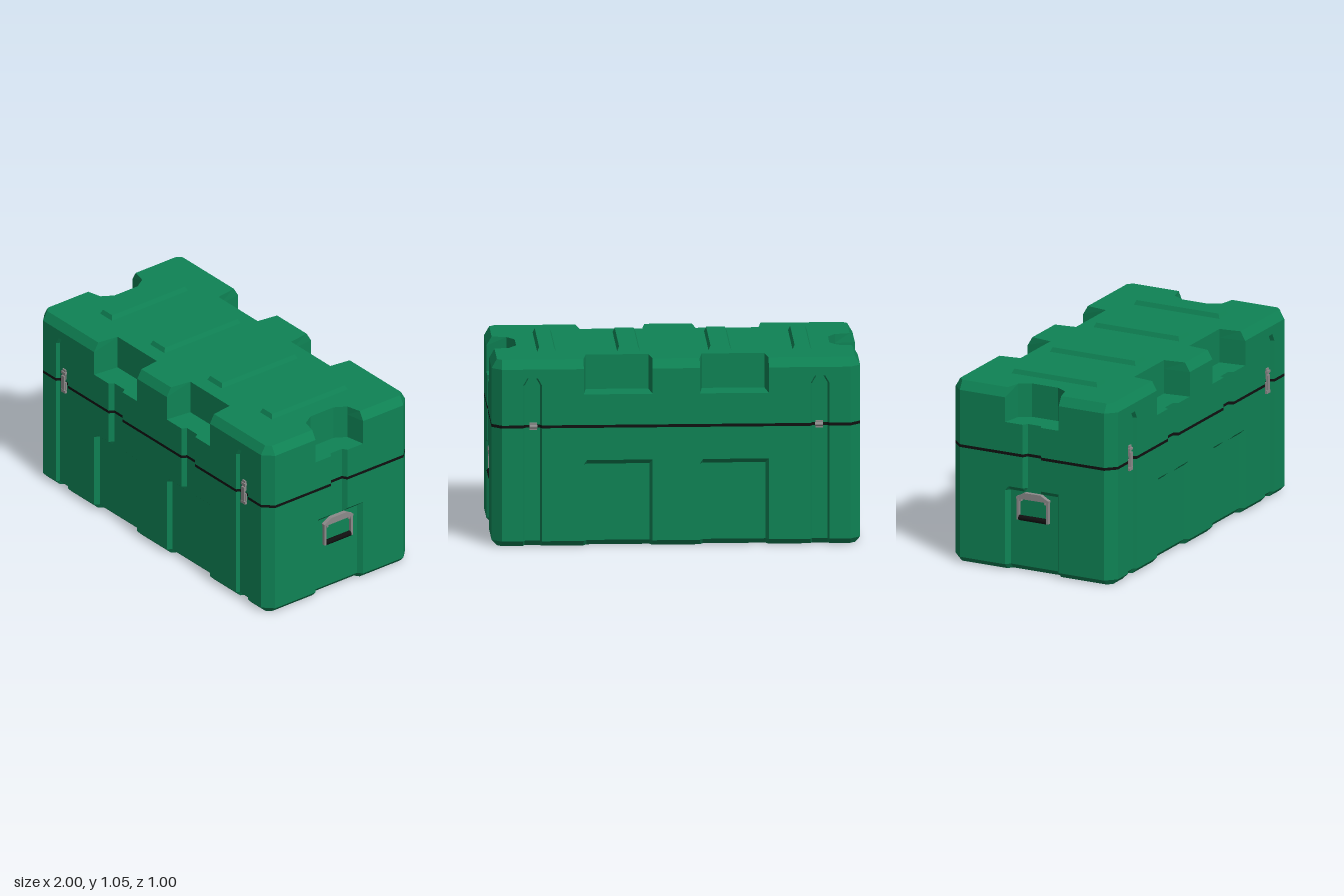
import * as THREE from 'three';
import { mergeGeometries } from 'three/addons/utils/BufferGeometryUtils.js';

const green = new THREE.MeshStandardMaterial({ color: 0x0f8355 });
const grey = new THREE.MeshStandardMaterial({ color: 0x8c8a8a });
const black = new THREE.MeshStandardMaterial({ color: 0x101010 });
green.name = 'caseGreen';
grey.name = 'metalGrey';
black.name = 'rubberBlack';

const HX = 1, HZ = 0.5, CORNER = 0.055, DEPTH = 0.027;

// Solid between two outlines (x, -z) with equal point counts, flat shaded
function loft(lower, upper, y0, y1) {
  const pos = [];
  const put = (p, y) => pos.push(p[0], y, -p[1]);
  lower.forEach((a, i) => {
    const j = (i + 1) % lower.length;
    put(a, y0); put(lower[j], y0); put(upper[j], y1);
    put(a, y0); put(upper[j], y1); put(upper[i], y1);
  });
  const cap = (ring, y, flip) => {
    const pts = ring.map(p => new THREE.Vector2(p[0], p[1]));
    for (const f of THREE.ShapeUtils.triangulateShape(pts, [])) {
      for (const k of flip ? [f[2], f[1], f[0]] : f) put(ring[k], y);
    }
  };
  cap(lower, y0, true);
  cap(upper, y1, false);
  const g = new THREE.BufferGeometry();
  g.setAttribute('position', new THREE.Float32BufferAttribute(pos, 3));
  g.computeVertexNormals();
  return g;
}

// Recess profile as [position along the side, depth], symmetric about c
function recess(c, half) {
  return [
    ...half.map(([u, d]) => [c - u, d]),
    ...half.slice().reverse().map(([u, d]) => [c + u, d]),
  ];
}

// Plan outline: panel and groove depths, strap channel size, edge inset rule
function outline({ panel = 0, groove = DEPTH, latch = 0.02, latchHalf = 0.052, inset = d => d }) {
  const deep = panel > 0.1;
  const longSide = g => {
    const bay = c => recess(c, [[0.187, 0], [0.17, panel], [0.06, panel], [0.045, Math.max(panel, g)]]);
    const strap = c => recess(c, [[latchHalf, 0], [latchHalf - 0.01, latch]]);
    return [...strap(-0.78), ...bay(-0.315), ...bay(0.315), ...strap(0.78)];
  };
  const end = recess(0, [[0.165, 0], [0.145, deep ? 0.11 : panel],
    [deep ? 0.08 : 0.057, panel], [0.04, Math.max(panel, groove)]]);
  const side = (profile, half, place) =>
    [[-half + CORNER, 0], ...profile, [half - CORNER, 0]].map(([u, d]) => place(u, inset(d)));
  return [
    ...side(longSide(groove), HX, (u, d) => [u, -HZ + d]),
    ...side(end, HZ, (u, d) => [HX - d, u]),
    ...side(longSide(0), HX, (u, d) => [-u, HZ - d]),
    ...side(end, HZ, (u, d) => [-HX + d, -u]),
  ];
}

function rect(cx, cz, w, d) {
  return [[cx - w / 2, -cz - d / 2], [cx + w / 2, -cz - d / 2], [cx + w / 2, -cz + d / 2], [cx - w / 2, -cz + d / 2]];
}

function add(parent, name, geometry, material, x = 0, y = 0, z = 0) {
  const m = new THREE.Mesh(geometry, material);
  m.name = name;
  m.position.set(x, y, z);
  parent.add(m);
  return m;
}

const box = (w, h, d) => new THREE.BoxGeometry(w, h, d);

// Carrying handle lying in the end recess, built for the +x end
function makeHandle() {
  const h = new THREE.Group();
  const plate = new THREE.Shape([[-0.1, 0.415], [0.1, 0.415], [0.1, 0.425], [0.085, 0.432], [0.05, 0.452],
    [-0.05, 0.452], [-0.085, 0.432], [-0.1, 0.425]].map(p => new THREE.Vector2(...p)));
  const pg = new THREE.ExtrudeGeometry(plate, { depth: 0.024, bevelEnabled: false });
  pg.rotateY(Math.PI / 2);
  add(h, 'handleMount', pg, grey, 0.973);
  for (const s of [-1, 1]) {
    add(h, 'handleArm', box(0.018, 0.125, 0.014), grey, 0.986, 0.357, s * 0.091);
    add(h, 'handleRivet', box(0.02, 0.012, 0.012), grey, 0.984, 0.407, s * 0.076);
  }
  const grip = new THREE.CylinderGeometry(0.015, 0.015, 0.168, 12);
  grip.rotateX(Math.PI / 2);
  add(h, 'handleGrip', grip, black, 0.987, 0.306, 0);
  return h;
}

// Toggle latch across the seam, facing +z
function makeLatch() {
  const l = new THREE.Group();
  l.name = 'latch';
  add(l, 'latchKeeper', box(0.026, 0.06, 0.008), grey, 0, 0.715, 0.484);
  add(l, 'latchHook', box(0.034, 0.014, 0.014), grey, 0, 0.725, 0.487);
  add(l, 'latchLever', box(0.024, 0.085, 0.012), grey, 0, 0.665, 0.49);
  add(l, 'latchBase', box(0.036, 0.045, 0.01), grey, 0, 0.645, 0.485);
  add(l, 'latchFoot', box(0.036, 0.016, 0.014), grey, 0, 0.611, 0.487);
  return l;
}

export function createModel() {
  const model = new THREE.Group();
  model.name = 'transportCase';

  // Lower shell: chamfered foot, recessed panels, then strap grooves only
  const panels = outline({ panel: DEPTH });
  const foot = outline({ panel: DEPTH, inset: d => d + 0.029 });
  const plain = outline({});
  add(model, 'lowerShell', mergeGeometries([
    loft(foot, panels, 0, 0.03),
    loft(panels, panels, 0.03, 0.452),
    loft(panels, plain, 0.452, 0.477),
    loft(plain, plain, 0.477, 0.655),
  ]), green);

  // Rubber seal between the shells
  add(model, 'seal', loft(plain, plain, 0.655, 0.671), black);

  // Lid: deep stacking notches, channel tops, chamfered rim
  const bays = outline({ panel: 0.15 });
  const archTop = outline({ panel: 0.15, latchHalf: 0.028 });
  const closed = outline({ panel: 0.15, latch: 0 });
  const rim = outline({ panel: 0.15, latch: 0, inset: d => Math.max(d, 0.029) });
  add(model, 'lid', mergeGeometries([
    loft(plain, plain, 0.671, 0.84),
    loft(bays, bays, 0.84, 0.89),
    loft(bays, archTop, 0.89, 0.932),
    loft(closed, closed, 0.932, 0.98),
    loft(closed, rim, 0.98, 1.03),
  ]), green);

  // Ribs on top of the lid
  for (const [x, w] of [[0.693, 0.104], [0.248, 0.126]]) {
    for (const s of [-1, 1]) {
      add(model, 'topRib', loft(rect(s * x, 0, w, 0.53), rect(s * x, 0, w - 0.024, 0.506), 1.028, 1.055), green);
    }
  }

  // Latches in front, hinges behind, a handle at each end
  for (const s of [-1, 1]) {
    const latch = makeLatch();
    latch.position.x = s * 0.78;
    model.add(latch);

    add(model, 'hingeLeaf', box(0.04, 0.04, 0.01), grey, s * 0.775, 0.663, -0.484);
    const pin = new THREE.CylinderGeometry(0.01, 0.01, 0.044, 10);
    pin.rotateZ(Math.PI / 2);
    add(model, 'hingePin', pin, grey, s * 0.775, 0.663, -0.493);

    const handle = makeHandle();
    handle.name = s > 0 ? 'leftHandle' : 'rightHandle';
    if (s < 0) handle.rotation.y = Math.PI;
    model.add(handle);
  }
  return model;
}
